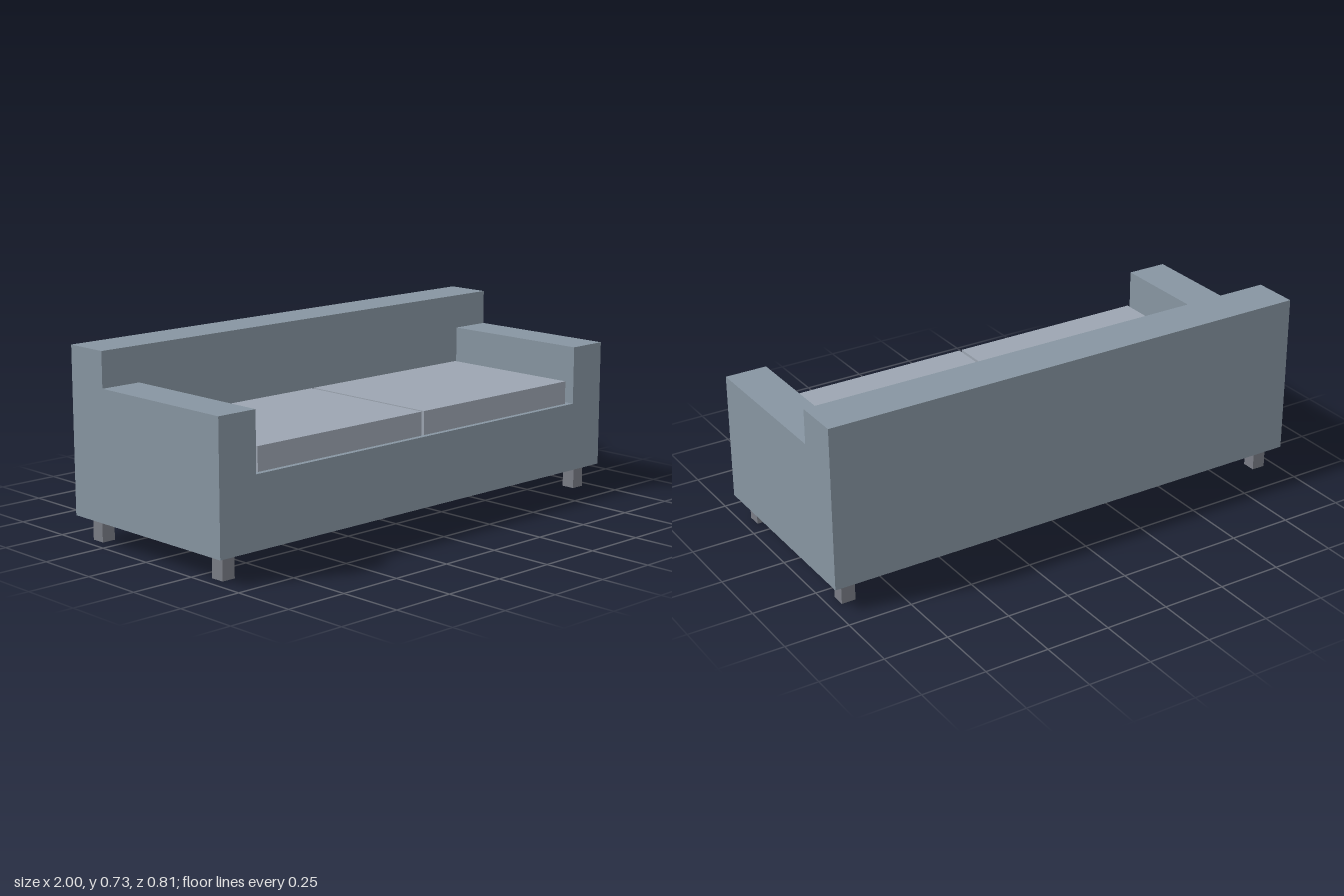
import * as THREE from 'three';

export function createModel() {
  const sofa = new THREE.Group();
  sofa.name = 'sofa';

  const frameMaterial = new THREE.MeshStandardMaterial({ color: 0x8795a1 });
  const cushionMaterial = new THREE.MeshStandardMaterial({ color: 0x9ca5b1 });
  const legMaterial = new THREE.MeshStandardMaterial({ color: 0x7a7d86 });

  const add = (name, geometry, material) => {
    const mesh = new THREE.Mesh(geometry, material);
    mesh.name = name;
    sofa.add(mesh);
  };

  // Box given by its lower and upper corners
  const box = (name, material, [x0, y0, z0], [x1, y1, z1]) => {
    const geometry = new THREE.BoxGeometry(x1 - x0, y1 - y0, z1 - z0);
    geometry.translate((x0 + x1) / 2, (y0 + y1) / 2, (z0 + z1) / 2);
    add(name, geometry, material);
  };

  const bottom = 0.093, seatTop = 0.365, armTop = 0.592, backTop = 0.728;
  const halfDepth = 0.407, backFront = -0.228, armInner = 0.835;

  // Seat base and both armrests as one U-shaped body
  const profile = new THREE.Shape([
    [-1, bottom], [1, bottom], [1, armTop], [armInner, armTop],
    [armInner, seatTop], [-armInner, seatTop], [-armInner, armTop], [-1, armTop],
  ].map(([x, y]) => new THREE.Vector2(x, y)));
  const body = new THREE.ExtrudeGeometry(profile, { depth: halfDepth - backFront, bevelEnabled: false });
  body.translate(0, 0, backFront);
  add('seatAndArmrests', body, frameMaterial);

  // Full-width backrest
  box('backrest', frameMaterial, [-1, bottom, -halfDepth], [1, backTop, backFront]);

  // Two loose seat cushions
  box('leftCushion', cushionMaterial, [0.006, seatTop, -0.21], [0.81, 0.456, 0.387]);
  box('rightCushion', cushionMaterial, [-0.81, seatTop, -0.21], [-0.006, 0.456, 0.387]);

  // Square legs at the corners
  for (const [side, x] of [['Left', 0.928], ['Right', -0.928]]) {
    for (const [end, z] of [['front', 0.337], ['back', -0.337]]) {
      box(`${end}${side}Leg`, legMaterial,
        [x - 0.0275, 0, z - 0.0275], [x + 0.0275, bottom, z + 0.0275]);
    }
  }

  return sofa;
}
